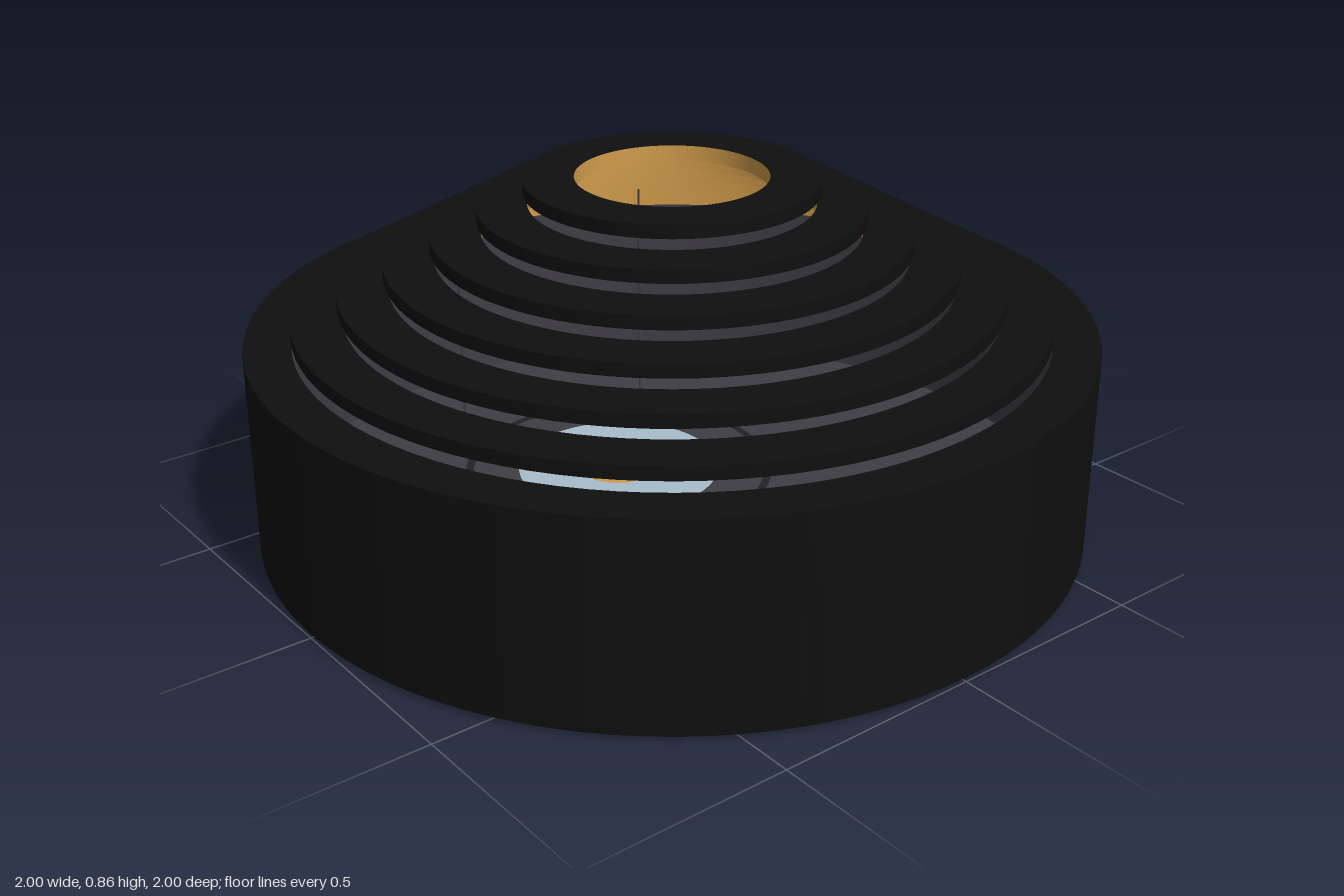
import * as THREE from 'three';
import { mergeGeometries } from 'three/addons/utils/BufferGeometryUtils.js';

const SEGMENTS = 96;

function material(name, color) {
  const m = new THREE.MeshStandardMaterial({ color });
  m.name = name;
  return m;
}

// Revolves each profile edge on its own so corners stay sharp.
function revolve(points) {
  const strips = [];
  for (let i = 0; i < points.length - 1; i++) {
    const edge = [points[i], points[i + 1]].map(([r, y]) => new THREE.Vector2(r, y));
    strips.push(new THREE.LatheGeometry(edge, SEGMENTS));
  }
  return mergeGeometries(strips);
}

export function createModel() {
  const group = new THREE.Group();
  const black = material('matte black', 0x0f0f0f);
  const gray = material('charcoal gray', 0x403e45);
  const dark = material('dark gray', 0x222227);
  const blue = material('pale blue', 0xa9bdcc);
  const gold = material('warm gold', 0xd09b4b);

  function add(name, geometry, mat, x = 0, y = 0, z = 0) {
    const mesh = new THREE.Mesh(geometry, mat);
    mesh.name = name;
    mesh.position.set(x, y, z);
    group.add(mesh);
    return mesh;
  }

  // Drum with a slightly inset foot and an open top
  add('drumShell', revolve([
    [0, 0], [0.98, 0], [0.98, 0.01], [1, 0.01], [1, 0.5], [0.89, 0.5], [0.89, 0.485],
  ]), black);

  // Interior lining: ceiling lip, wall and floor
  add('innerLining', revolve([
    [0.89, 0.485], [0.97, 0.485], [0.97, 0.015], [0, 0.015],
  ]), gray);

  // Flat round inlays on the floor
  const cz = -0.22;
  const inlay = (name, inner, outer, y, mat) => {
    const geometry = inner > 0
      ? new THREE.RingGeometry(inner, outer, SEGMENTS)
      : new THREE.CircleGeometry(outer, SEGMENTS);
    add(name, geometry.rotateX(-Math.PI / 2), mat, 0, y, cz);
  };
  inlay('floorGroove', 0.37, 0.39, 0.019, dark);
  inlay('floorDisc', 0, 0.255, 0.022, blue);
  inlay('floorCentre', 0, 0.108, 0.027, gold);

  // Stepped floating rings, each with a shallow lip and gold inner edge
  for (let i = 0; i < 6; i++) {
    const outer = 0.89 - i * 0.109;
    const inner = outer - 0.119;
    const y = 0.525 + i * 0.06;
    add('roofRing' + (i + 1), revolve([
      [inner, y - 0.006], [inner + 0.012, y - 0.006], [inner + 0.012, y],
      [outer, y], [outer, y + 0.032], [inner, y + 0.032],
    ]), black);
    add('ringInnerTrim' + (i + 1), revolve([[inner, y + 0.032], [inner, y - 0.006]]), gold);
  }

  // Slim rods standing behind the floor disc
  for (const side of [-1, 1]) {
    add(side > 0 ? 'leftRod' : 'rightRod',
      new THREE.CylinderGeometry(0.003, 0.003, 0.7, 8), gray, side * 0.28, 0.365, -0.5);
  }

  return group;
}
